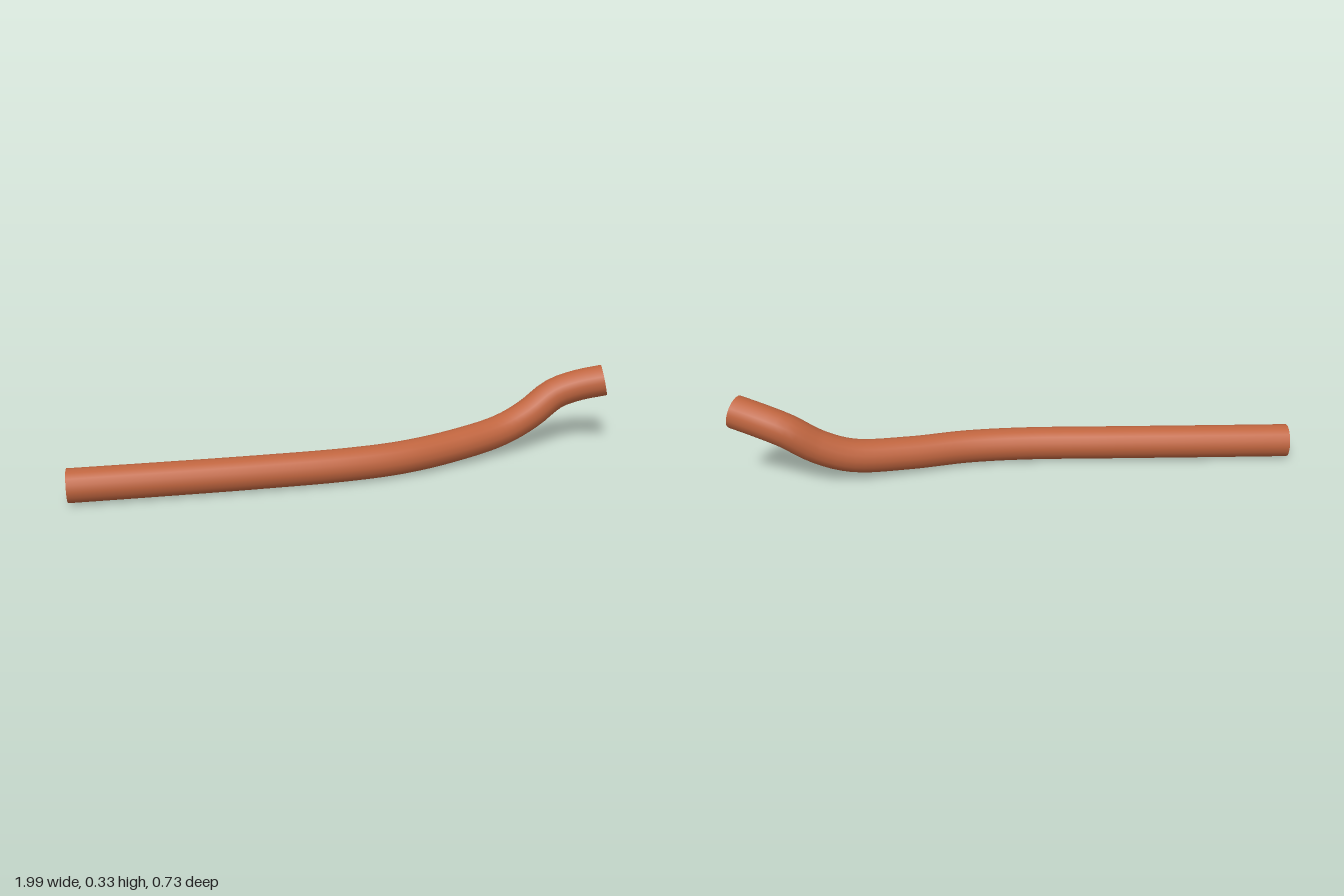
import * as THREE from 'three';

const RADIUS = 0.0615, SIDES = 16, STEPS = 64;

export function createModel() {
  const group = new THREE.Group();
  group.name = 'bentRod';
  const material = new THREE.MeshStandardMaterial({ color: 0xc0653f });

  // centre line: long straight run, sideways sweep, then a raised end
  const path = new THREE.CatmullRomCurve3([
    [-0.985, 0.065, 0.303], [-0.66, 0.063, 0.231], [-0.33, 0.062, 0.157], [0, 0.063, 0.077],
    [0.2, 0.065, 0.006], [0.4, 0.071, -0.104], [0.58, 0.094, -0.208], [0.69, 0.143, -0.259],
    [0.79, 0.214, -0.297], [0.88, 0.248, -0.304], [0.98, 0.273, -0.298],
  ].map((p) => new THREE.Vector3(...p)));

  const tube = new THREE.TubeGeometry(path, STEPS, RADIUS, SIDES, false);
  const rod = new THREE.Mesh(tube, material);
  rod.name = 'rod';
  group.add(rod);

  // flat cap on the tube's first or last ring
  const addCap = (name, ring, t, outward) => {
    const centre = path.getPointAt(t);
    const normal = path.getTangentAt(t).multiplyScalar(outward);
    const positions = [...centre.toArray()], normals = [...normal.toArray()], index = [];
    const v = new THREE.Vector3();
    for (let i = 0; i <= SIDES; i++) {
      v.fromBufferAttribute(tube.attributes.position, ring * (SIDES + 1) + i);
      positions.push(v.x, v.y, v.z);
      normals.push(normal.x, normal.y, normal.z);
    }
    // wind the fan so that it faces outward
    const a = new THREE.Vector3().fromArray(positions, 3).sub(centre);
    const b = new THREE.Vector3().fromArray(positions, 6).sub(centre);
    const forward = a.cross(b).dot(normal) > 0;
    for (let i = 1; i <= SIDES; i++) index.push(0, forward ? i : i + 1, forward ? i + 1 : i);
    const geometry = new THREE.BufferGeometry();
    geometry.setAttribute('position', new THREE.Float32BufferAttribute(positions, 3));
    geometry.setAttribute('normal', new THREE.Float32BufferAttribute(normals, 3));
    geometry.setIndex(index);
    const cap = new THREE.Mesh(geometry, material);
    cap.name = name;
    group.add(cap);
  };
  addCap('straightEndCap', 0, 0, -1);
  addCap('raisedEndCap', STEPS, 1, 1);

  return group;
}
